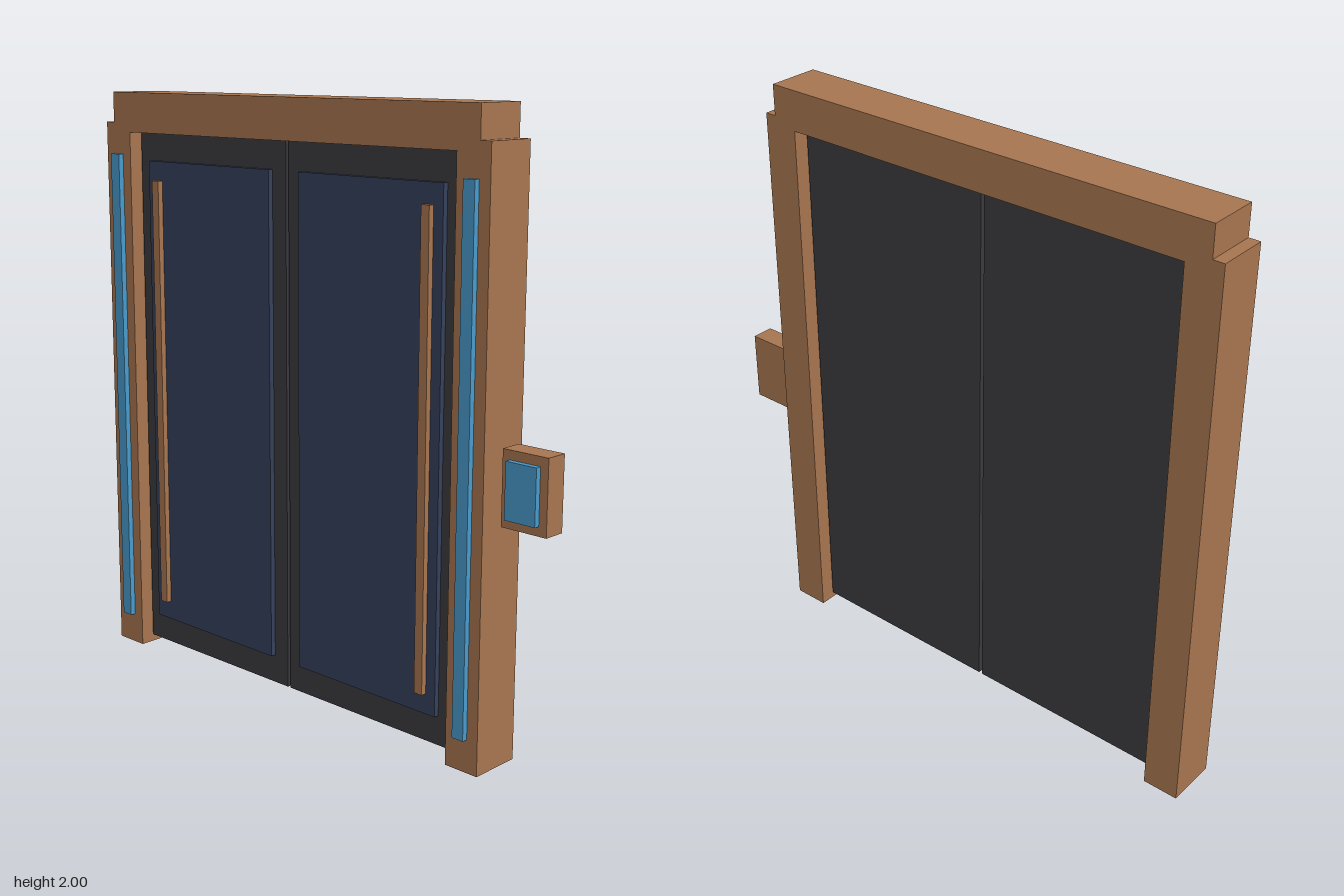
import * as THREE from 'three';

const material = (name, color) => {
  const m = new THREE.MeshStandardMaterial({ color });
  m.name = name;
  return m;
};

// Box given by its [min, max] extent along each axis
function box(name, mat, [x0, x1], [y0, y1], [z0, z1]) {
  const mesh = new THREE.Mesh(new THREE.BoxGeometry(x1 - x0, y1 - y0, z1 - z0), mat);
  mesh.position.set((x0 + x1) / 2, (y0 + y1) / 2, (z0 + z1) / 2);
  mesh.name = name;
  return mesh;
}

export function createModel() {
  const bronze = material('bronze', 0xa87650);
  const charcoal = material('charcoal', 0x3b3a3f);
  const navy = material('navy', 0x35415c);
  const blue = material('light blue', 0x4a9ccd);

  const model = new THREE.Group();
  model.name = 'slidingDoor';

  // Doorway, centred on its own x = 0
  const doorway = new THREE.Group();
  doorway.name = 'doorway';
  doorway.position.x = -0.092;
  model.add(doorway);

  const frameZ = [-0.098, 0.079];
  doorway.add(box('lintel', bronze, [-0.811, 0.811], [1.865, 2], frameZ));

  for (const [side, s] of [['right', -1], ['left', 1]]) {
    // Mirrors an x extent to the chosen side
    const span = (a, b) => (s > 0 ? [a, b] : [-b, -a]);
    const add = (part, mat, x, y, z) => doorway.add(box(side + part, mat, span(...x), y, z));

    // Post with its light strip
    add('Post', bronze, [0.726, 0.85], [0, 1.897], frameZ);
    add('LightStrip', blue, [0.766, 0.809], [0.108, 1.79], [0.079, 0.098]);

    // Door leaf with raised panel and pull bar
    add('DoorLeaf', charcoal, [0.006, 0.718], [0.029, 1.865], [-0.053, 0.035]);
    add('DoorPanel', navy, [0.067, 0.659], [0.127, 1.77], [0.03, 0.053]);
    add('PullBar', bronze, [0.59, 0.622], [0.194, 1.705], [0.05, 0.072]);
  }

  // Wall control beside the doorway
  const control = new THREE.Group();
  control.name = 'controlUnit';
  control.add(
    box('controlBox', bronze, [0.775, 0.939], [0.777, 1.015], [-0.062, 0.014]),
    box('controlScreen', blue, [0.8, 0.911], [0.807, 0.985], [0.014, 0.033])
  );
  model.add(control);

  return model;
}
